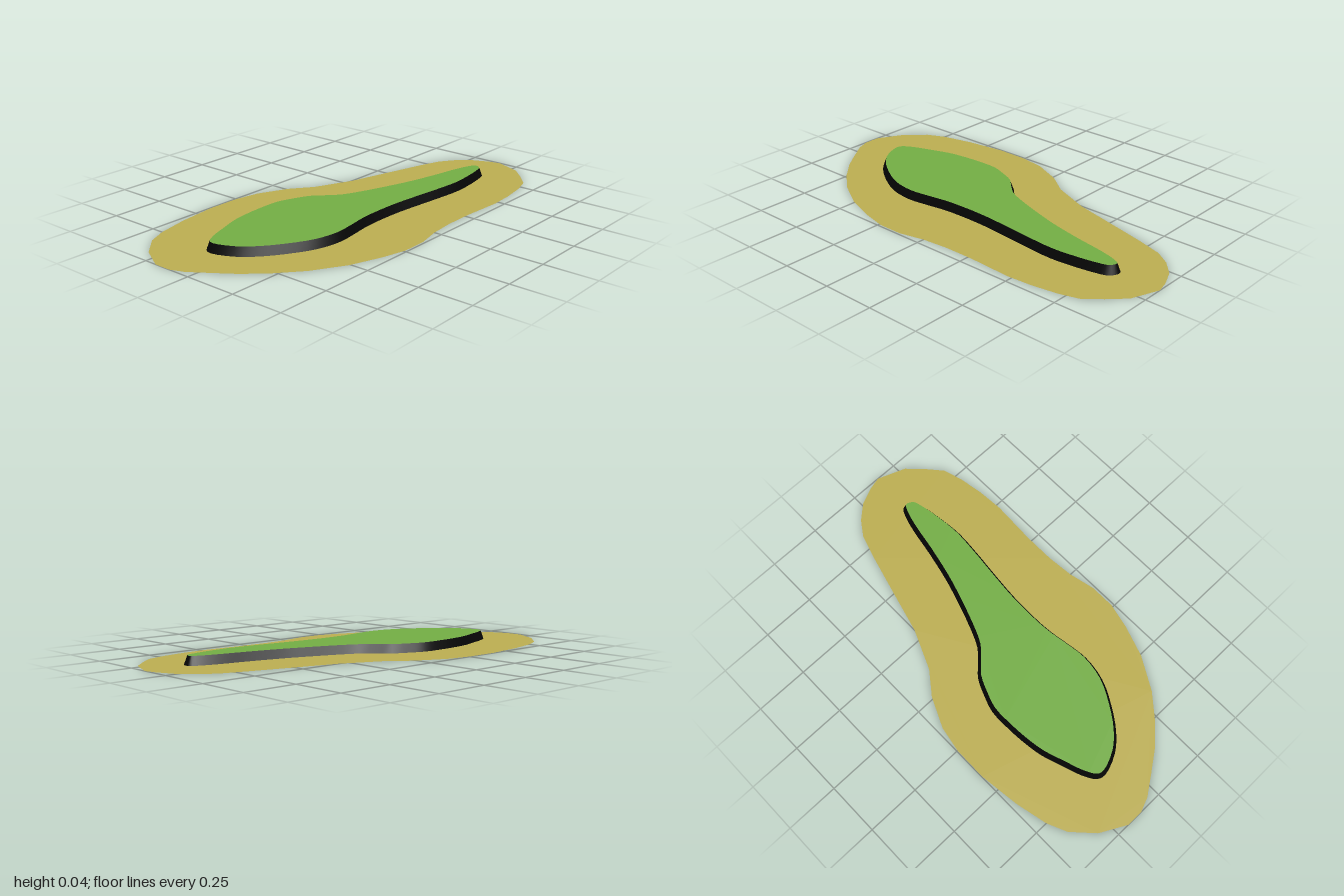
import * as THREE from 'three';

const HEIGHT = 0.04;
const INSET = 0.015;

// Outlines as x, z pairs, running clockwise seen from above
const SAND = [
  -1, -0.11, -1, -0.19, -0.935, -0.31, -0.84, -0.4, -0.75, -0.44, -0.6, -0.474, -0.41, -0.498,
  -0.25, -0.496, -0.13, -0.474, 0.01, -0.41, 0.115, -0.33, 0.3, -0.25, 0.5, -0.197, 0.7, -0.143,
  0.82, -0.105, 0.89, -0.057, 0.95, 0.01, 0.985, 0.09, 1, 0.15, 0.95, 0.28, 0.88, 0.35,
  0.81, 0.41, 0.72, 0.437, 0.6, 0.456, 0.48, 0.464, 0.27, 0.452, 0.125, 0.452, 0, 0.463,
  -0.12, 0.49, -0.24, 0.49, -0.356, 0.462, -0.505, 0.41, -0.655, 0.322, -0.76, 0.232,
  -0.85, 0.135, -0.91, 0.05, -0.975, -0.045,
];
const PLATEAU = [
  -0.778, -0.105, -0.767, -0.143, -0.71, -0.18, -0.62, -0.212, -0.52, -0.245, -0.42, -0.26,
  -0.335, -0.265, -0.23, -0.263, -0.147, -0.236, -0.07, -0.2, -0.02, -0.153, 0.04, -0.1,
  0.136, -0.057, 0.27, -0.01, 0.377, 0.023, 0.537, 0.06, 0.68, 0.087, 0.76, 0.11,
  0.795, 0.13, 0.8, 0.157, 0.778, 0.19, 0.725, 0.207, 0.618, 0.224, 0.51, 0.232,
  0.377, 0.222, 0.27, 0.21, 0.11, 0.194, 0, 0.19, -0.13, 0.194, -0.238, 0.21,
  -0.34, 0.221, -0.463, 0.2, -0.58, 0.14, -0.676, 0.07, -0.74, -0.004,
];

function toPoints(flat) {
  const points = [];
  for (let i = 0; i < flat.length; i += 2) points.push(new THREE.Vector3(flat[i], 0, flat[i + 1]));
  return points;
}

// Flat horizontal sheet filling an outline
function sheet(name, points, y, material) {
  const shape = new THREE.Shape(points.map((p) => new THREE.Vector2(p.x, -p.z)));
  const geometry = new THREE.ShapeGeometry(shape).rotateX(-Math.PI / 2).translate(0, y, 0);
  const mesh = new THREE.Mesh(geometry, material);
  mesh.name = name;
  return mesh;
}

// Sloping band joining two rings of equal length
function band(name, lower, upper, material) {
  const positions = [];
  const index = [];
  const n = lower.length;
  for (let i = 0; i < n; i++) {
    positions.push(...lower[i].toArray(), ...upper[i].toArray());
    const b = 2 * i, c = 2 * ((i + 1) % n);
    index.push(b, b + 1, c, c, b + 1, c + 1);
  }
  const geometry = new THREE.BufferGeometry();
  geometry.setAttribute('position', new THREE.Float32BufferAttribute(positions, 3));
  geometry.setIndex(index);
  geometry.computeVertexNormals();
  const mesh = new THREE.Mesh(geometry, material);
  mesh.name = name;
  return mesh;
}

export function createModel() {
  const sand = new THREE.MeshStandardMaterial({ color: 0xbaac50, side: THREE.DoubleSide });
  sand.name = 'sand';
  const grass = new THREE.MeshStandardMaterial({ color: 0x72ac44 });
  grass.name = 'grass';
  const black = new THREE.MeshStandardMaterial({ color: 0x050505, side: THREE.DoubleSide });
  black.name = 'black';

  // Smooth foot of the plateau, and its rim stepped inwards
  const curve = new THREE.CatmullRomCurve3(toPoints(PLATEAU), true);
  const foot = [], rim = [];
  const steps = 105;
  for (let i = 0; i < steps; i++) {
    const p = curve.getPoint(i / steps);
    const t = curve.getTangent(i / steps);
    foot.push(p);
    rim.push(new THREE.Vector3(p.x - t.z * INSET, HEIGHT, p.z + t.x * INSET));
  }

  const group = new THREE.Group();
  group.name = 'island';
  group.add(
    sheet('beach', toPoints(SAND), 0, sand),
    band('bank', foot, rim, black),
    sheet('grassTop', rim, HEIGHT, grass),
  );
  return group;
}
